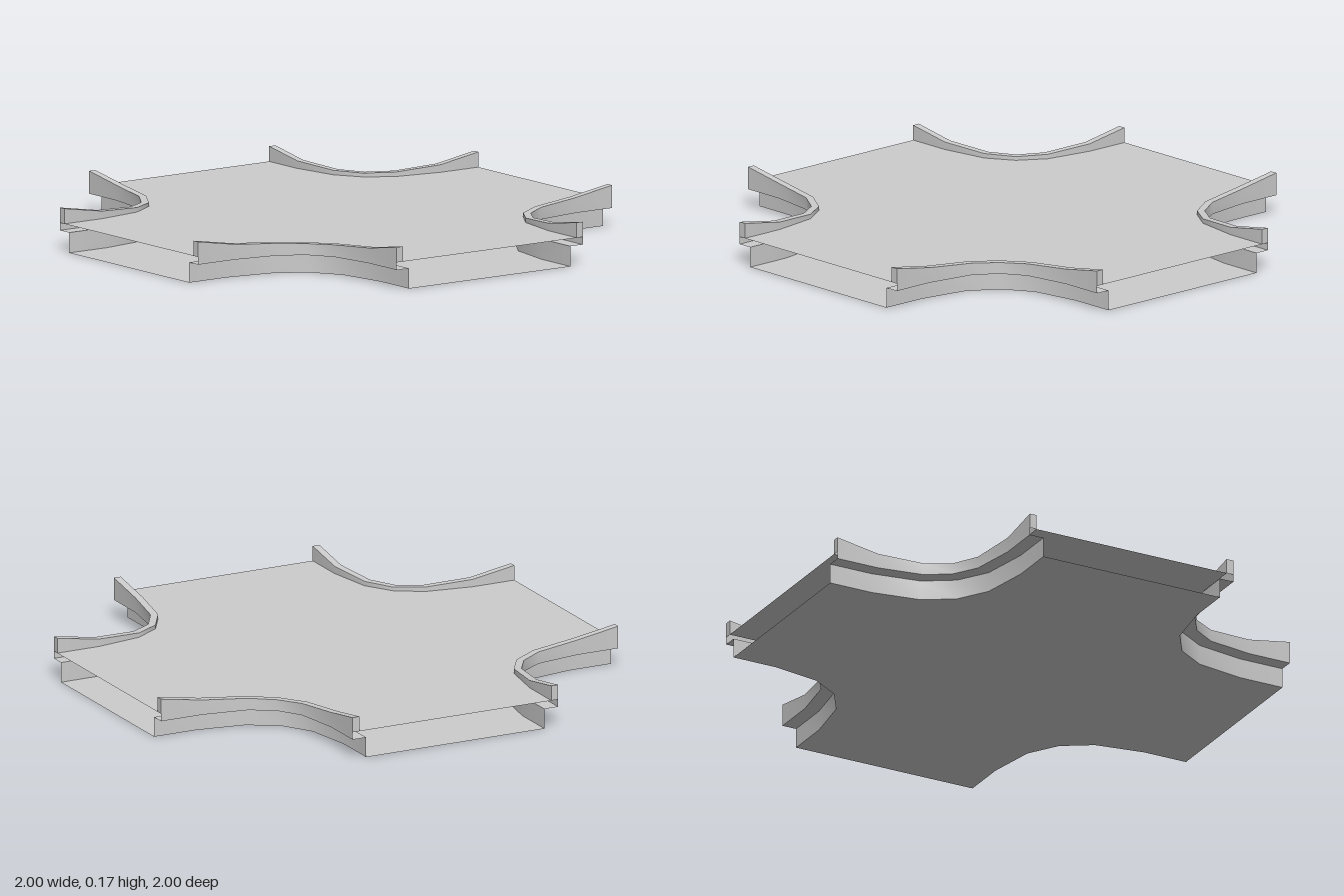
import * as THREE from 'three';

const material = new THREE.MeshStandardMaterial({ color: 0xcccccc, side: THREE.DoubleSide });

const DECK_Y = 0.11, BASE_Y = 0.08;

// Outer edge of one corner as [x, z, rail top height]
const corner = [
  [0.45, 1, 0.17], [0.45, 0.82, 0.14], [0.48, 0.635, 0.128], [0.54, 0.54, 0.125],
  [0.635, 0.48, 0.128], [0.82, 0.45, 0.14], [1, 0.45, 0.17],
];

// The corner edge moved inwards by d
function inset(d) {
  return corner.map(([x, z], i) => {
    const a = corner[Math.max(i - 1, 0)], b = corner[Math.min(i + 1, corner.length - 1)];
    const tx = b[0] - a[0], tz = b[1] - a[1], len = Math.hypot(tx, tz);
    return [x + (tz / len) * d, z - (tx / len) * d];
  });
}

// A row of points along the corner; the height is fixed or follows the rail top
const row = (d, y) => inset(d).map(([x, z], i) => [x, y ?? corner[i][2], z]);

// Smooth band between two rows of points
function band(a, b) {
  const n = a.length, index = [];
  for (let i = 0; i < n - 1; i++) index.push(i, i + 1, n + i, i + 1, n + i + 1, n + i);
  const g = new THREE.BufferGeometry();
  g.setAttribute('position', new THREE.Float32BufferAttribute([...a, ...b].flat(), 3));
  g.setIndex(index);
  g.computeVertexNormals();
  return g;
}

function add(parent, geometry, name) {
  const mesh = new THREE.Mesh(geometry, material);
  mesh.name = name;
  parent.add(mesh);
}

// Flat cross-shaped plate whose corners follow the inset edge
function plate(d, y, up) {
  const points = [];
  let pts = inset(d);
  for (let k = 0; k < 4; k++) {
    points.push(...pts.map(([x, z]) => new THREE.Vector2(x, z)));
    pts = pts.map(([x, z]) => [z, -x]);
  }
  const g = new THREE.ShapeGeometry(new THREE.Shape(points));
  return g.rotateX(up ? -Math.PI / 2 : Math.PI / 2).translate(0, y, 0);
}

export function createModel() {
  const model = new THREE.Group();
  model.name = 'crossroadPiece';

  add(model, plate(0.03, DECK_Y, true), 'deck');
  add(model, plate(0.06, 0, false), 'floor');

  // Section rows from the foot of the base wall over the rail to the deck
  const section = [
    row(0.06, 0), row(0.06, BASE_Y), row(0, BASE_Y), row(0), row(0.03), row(0.03, DECK_Y),
  ];
  const names = ['baseWall', 'ledge', 'railOuterWall', 'railTop', 'railInnerWall'];
  const outer = row(0, DECK_Y), last = corner.length - 1;

  for (let k = 0; k < 4; k++) {
    const side = new THREE.Group();
    side.name = 'cornerRail';
    names.forEach((name, i) => add(side, band(section[i], section[i + 1]), name));
    // Closed upper ends of the rail
    add(side, band([section[5][0], outer[0]], [section[4][0], section[3][0]]), 'railEnd');
    add(side, band([outer[last], section[5][last]], [section[3][last], section[4][last]]), 'railEnd');
    side.rotation.y = k * Math.PI / 2;
    model.add(side);
  }
  return model;
}
